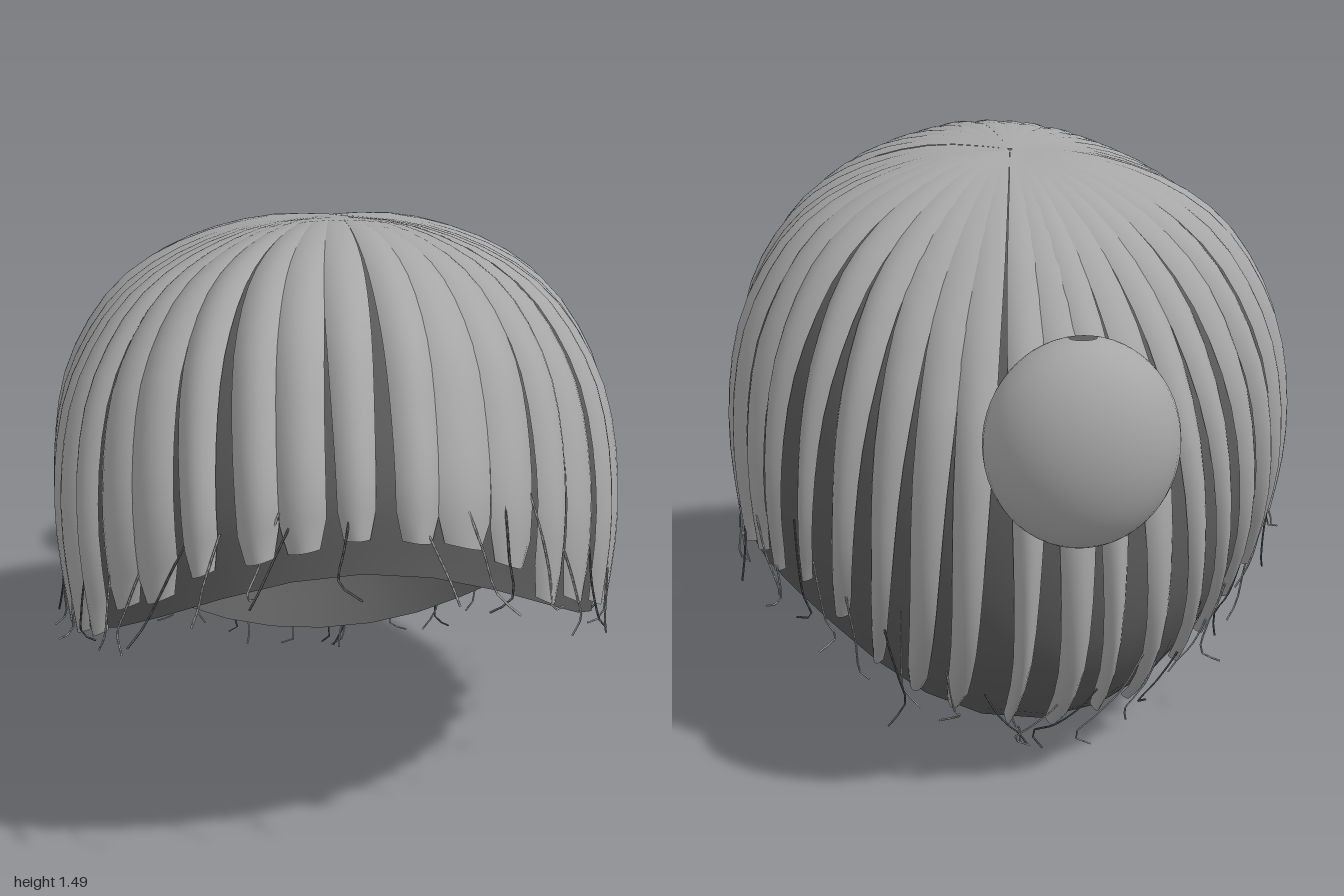
import * as THREE from 'three';
import { ParametricGeometry } from 'three/addons/geometries/ParametricGeometry.js';

const profile = pts => {
  const c = new THREE.SplineCurve(pts.map(p => new THREE.Vector2(p[0], p[1])));
  c.arcLengthDivisions = 400;
  return c;
};

// Crown-to-edge profiles (radius, height) for the front, side and back
const front = profile([[0, 1.46], [0.25, 1.492], [0.5, 1.455], [0.7, 1.355], [0.83, 1.22], [0.92, 1.07], [0.95, 0.89]]);
const side = profile([[0, 1.46], [0.2, 1.445], [0.4, 1.375], [0.55, 1.265], [0.655, 1.1], [0.705, 0.93], [0.72, 0.7], [0.695, 0.43]]);
const back = profile([[0, 1.46], [0.2, 1.405], [0.4, 1.295], [0.55, 1.165], [0.68, 1], [0.77, 0.8], [0.79, 0.55], [0.74, 0.34], [0.6, 0.17], [0.44, 0.06]]);
const center = new THREE.Vector3(0, 0.75, 0.05);

// Point on the head: a = angle from the front, s = 0 crown .. 1 edge, lift = outward offset
function headPoint(a, s, lift, target = new THREE.Vector3()) {
  const c = Math.cos(a), n = Math.sin(a);
  const m = (c > 0 ? front : back).getPointAt(s), e = side.getPointAt(s);
  // Fuller front corners, slimmer back corners
  const corner = 1 + (c > 0 ? 0.03 : -0.055) * 4 * n * n * c * c;
  target.set(n * e.x * corner, m.y * c * c + e.y * n * n, c * m.x * corner);
  return target.addScaledVector(target.clone().sub(center).normalize(), lift);
}

export function createModel() {
  const model = new THREE.Group();
  model.name = 'hair';
  const light = new THREE.MeshStandardMaterial({ color: 0xa6a6a6, side: THREE.DoubleSide });
  light.name = 'light hair';
  const dark = new THREE.MeshStandardMaterial({ color: 0x5a5a5a, side: THREE.DoubleSide });
  dark.name = 'dark hair';

  const add = (name, geometry, material, parent = model) => {
    const mesh = new THREE.Mesh(geometry, material);
    mesh.name = name;
    parent.add(mesh);
    return mesh;
  };
  const group = name => {
    const g = new THREE.Group();
    g.name = name;
    model.add(g);
    return g;
  };
  let seed = 11;
  const rand = (lo, hi) => {
    seed = (seed * 16807) % 2147483647;
    return lo + (hi - lo) * seed / 2147483647;
  };
  const { lerp, smoothstep } = THREE.MathUtils;

  // Dark scalp shell under the locks
  add('scalpCap', new ParametricGeometry((u, v, t) =>
    headPoint(Math.PI * (1 - 2 * u), lerp(0.004, 1, v), -0.012, t), 28, 20), dark);

  // Bulging locks fanning out from the crown, blunt in front and pointed behind
  const locks = group('locks');
  const count = 38, step = Math.PI * 2 / count;
  for (let i = 0; i < count; i++) {
    const a0 = i * step + rand(-0.02, 0.02);
    const c = Math.cos(a0);
    const behind = smoothstep(-c, -0.1, 0.5);
    const end = lerp(c > 0.8 ? rand(0.92, 0.96) : rand(0.96, 1), rand(0.9, 0.97), behind);
    const width = lerp(rand(0.68, 1.15), rand(0.25, 0.5), behind);
    const bulge = rand(0.018, 0.03);
    add('lock', new ParametricGeometry((u, v, t) => {
      const s = lerp(0.004, end, v);
      const w = 1 - 2 * u;
      const open = smoothstep(v, 0.2, 1);
      const tip = 1 - 0.3 * smoothstep(v, 0.94, 1);
      const half = step / 2 * lerp(1.12, width, open) * tip;
      const lift = -0.006 + bulge * smoothstep(v, 0.05, 0.75) * (1 - w * w);
      return headPoint(a0 + w * half, s, lift, t);
    }, 8, 18), light, locks);
  }

  // Fine loose hairs that slant across the scalp and curl off the edge
  const hairs = group('looseHairs');
  const hairCount = 46;
  for (let i = 0; i < hairCount; i++) {
    const a = i / hairCount * Math.PI * 2 + rand(-0.04, 0.04);
    const drift = Math.sign(Math.sin(a)) * rand(0.04, 0.2);
    const start = rand(0.78, 0.9), out = rand(0.01, 0.05);
    const points = [0, 0.35, 0.7, 1].map((k, j) =>
      headPoint(a + drift * k, lerp(start, 1, k), [-0.004, 0.008, 0.018, out][j]));
    const tip = points[3].clone();
    tip.x += rand(-0.05, 0.05);
    tip.y = Math.max(0.004, tip.y - rand(0, 0.06));
    tip.z += rand(-0.03, 0.03);
    points.push(tip);
    add('looseHair', new THREE.TubeGeometry(new THREE.CatmullRomCurve3(points), 12, 0.0026, 4), i % 3 ? light : dark, hairs);
  }

  // Round bun at the back, with a small opening at top and bottom
  const bun = group('bun');
  bun.scale.set(0.22, 0.238, 0.17);
  bun.position.set(-0.005, 0.925, -0.83);
  add('bunBall', new THREE.SphereGeometry(1, 40, 28, 0, Math.PI * 2, 0.14, Math.PI - 0.28), light, bun);
  // Dark strands on the part of the bun that sits inside the scalp
  const strands = 16, pitch = 2 / strands;
  for (let i = 0; i < strands; i++) {
    add('bunStrand', new THREE.SphereGeometry(1.006, 2, 14, Math.PI / 2 - 1 + i * pitch, pitch * 0.65,
      Math.PI / 2, Math.PI / 2 - 0.14), dark, bun);
  }

  return model;
}
